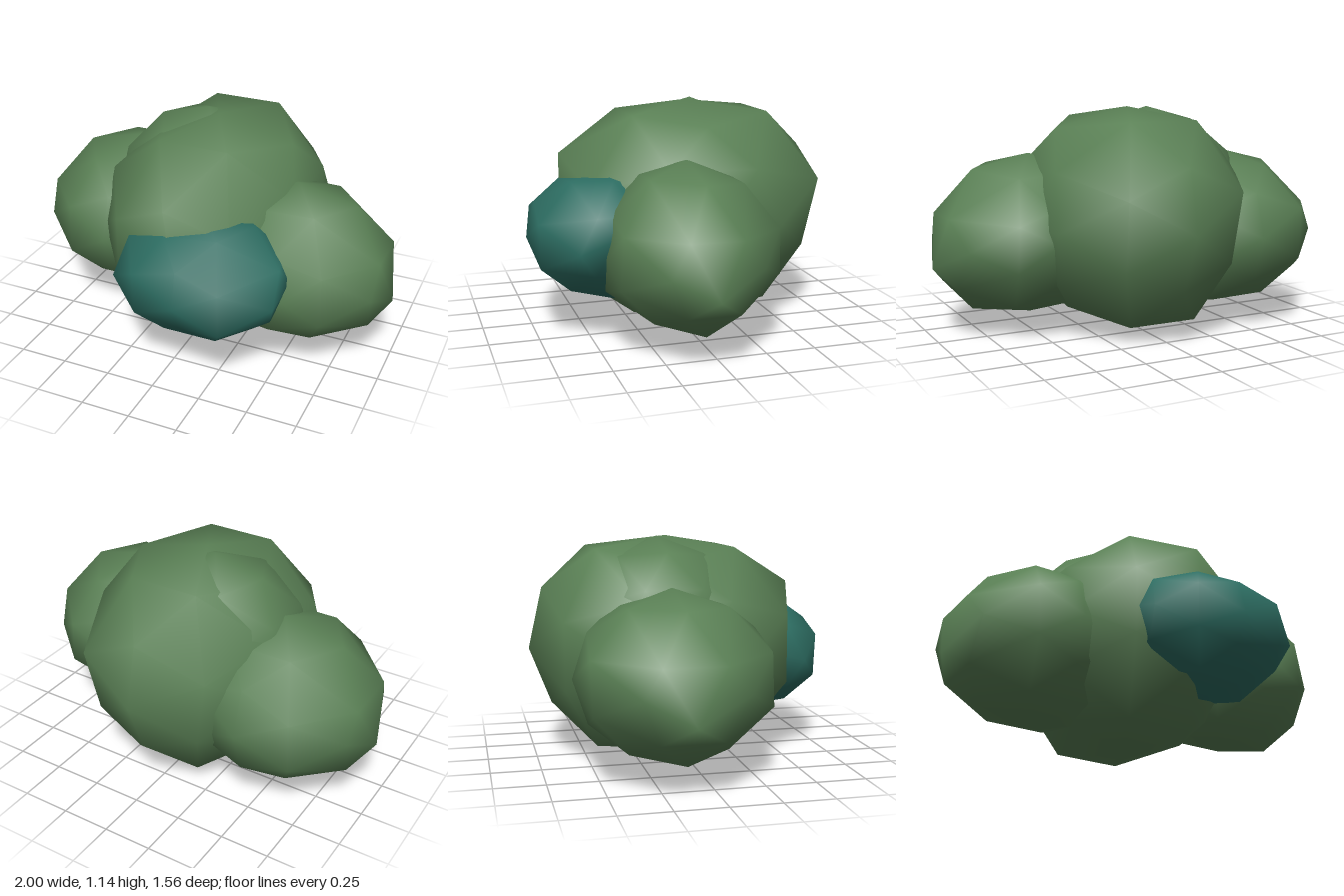
import * as THREE from 'three';
import { mergeVertices } from 'three/addons/utils/BufferGeometryUtils.js';

const leafGreen = new THREE.MeshStandardMaterial({ color: 0x5a8055 });
leafGreen.name = 'leaf green';
const leafTeal = new THREE.MeshStandardMaterial({ color: 0x2d6d62 });
leafTeal.name = 'leaf teal';

// Low-poly foliage clump: a stretched icosphere whose nearest free corners are
// pulled to the given points, with smooth normals.
function clump(name, material, centre, radii, pulls = []) {
  const ico = new THREE.IcosahedronGeometry(1, 1);
  ico.deleteAttribute('normal');
  ico.deleteAttribute('uv');
  const geo = mergeVertices(ico, 1e-3);
  geo.scale(...radii).translate(...centre);
  const pos = geo.attributes.position;
  const v = new THREE.Vector3();
  const used = new Set();
  for (const p of pulls) {
    const target = new THREE.Vector3(...p);
    let best = 0, bestDist = Infinity;
    for (let i = 0; i < pos.count; i++) {
      const d = v.fromBufferAttribute(pos, i).distanceTo(target);
      if (!used.has(i) && d < bestDist) { bestDist = d; best = i; }
    }
    used.add(best);
    pos.setXYZ(best, ...p);
  }
  geo.computeVertexNormals();
  const mesh = new THREE.Mesh(geo, material);
  mesh.name = name;
  return mesh;
}

// Side clumps bulge outwards and sag a little at their outer end
function sideClump(name, side, cx, cz, radii, extraPulls) {
  const rz = radii[2];
  const pulls = [
    [side, 0.36, cz], [side * 0.79, 0.84, cz], [side * 0.8, 0.137, cz], ...extraPulls,
  ];
  for (const s of [-1, 1]) {
    pulls.push([side * 0.95, 0.62, cz + s * 0.31 * rz]);
    pulls.push([side * 0.915, 0.27, cz + s * 0.31 * rz]);
  }
  return clump(name, leafGreen, [side * cx, 0.5, cz], radii, pulls);
}

export function createModel() {
  const bush = new THREE.Group();
  bush.name = 'bush';

  // Large central clump
  const mainPulls = [
    [0, 0.89, 0.59], [0.05, 0.57, 0.6], [0, 0.27, 0.56],
    [0, 0.885, -0.71], [0, 0.575, -0.78], [0, 0.29, -0.67],
    [0.4, 1.04, -0.07], [-0.33, 1.01, -0.07], [0.34, 0.125, -0.07], [-0.31, 0.14, -0.07],
    [0.53, 0.57, -0.41], [-0.48, 0.57, -0.39], [0.49, 0.57, 0.25], [-0.51, 0.57, 0.25],
    [0.31, 0.745, -0.7], [-0.34, 0.745, -0.64],
  ];
  for (const s of [-1, 1]) {
    mainPulls.push([s * 0.18, 1.085, -0.46], [s * 0.18, 1.085, 0.25]);
    mainPulls.push([s * 0.18, 0.09, -0.46], [s * 0.18, 0.075, 0.25]);
    mainPulls.push([s * 0.3, 0.745, 0.5], [s * 0.3, 0.4, 0.5]);
    for (const z of [-0.29, 0.15]) {
      mainPulls.push([s * 0.495, 0.845, z], [s * 0.485, 0.29, z]);
    }
  }
  bush.add(clump('mainClump', leafGreen, [0, 0.572, -0.07], [0.575, 0.568, 0.69], mainPulls));

  // Clump just breaking the surface of the central one
  bush.add(clump('topClump', leafGreen, [-0.08, 0.67, -0.13], [0.5, 0.472, 0.46]));

  // Clumps on either side
  bush.add(sideClump('rightClump', -1, 0.48, -0.14, [0.51, 0.417, 0.48], [
    [-0.74, 0.63, -0.57], [-0.74, 0.37, -0.56], [-0.7, 0.63, 0.29], [-0.7, 0.37, 0.3],
    [-0.945, 0.48, -0.37], [-0.91, 0.48, 0.13],
  ]));
  bush.add(sideClump('leftClump', 1, 0.49, 0.07, [0.5, 0.41, 0.41], [
    [0.69, 0.6, -0.33], [0.7, 0.38, -0.33], [0.74, 0.62, 0.44], [0.74, 0.37, 0.455],
    [0.89, 0.47, -0.18], [0.94, 0.46, 0.28], [0.56, 0.47, 0.478], [0.49, 0.3, 0.47],
    [0.49, 0.67, 0.44], [0.49, 0.66, -0.28], [0.64, 0.85, 0.29], [0.63, 0.81, -0.17],
  ]));

  // Darker clump at the front
  bush.add(clump('frontClump', leafTeal, [0.13, 0.5, 0.4], [0.445, 0.315, 0.383], [
    [0.39, 0.81, 0.4], [0.27, 0.79, 0.58], [0, 0.765, 0.59], [-0.13, 0.74, 0.4],
    [0.56, 0.67, 0.52], [0.56, 0.5, 0.6], [0.58, 0.57, 0.42], [0.52, 0.38, 0.52],
    [0.35, 0.61, 0.755], [0.35, 0.39, 0.75], [-0.1, 0.61, 0.73], [-0.1, 0.39, 0.72],
    [-0.3, 0.57, 0.4], [-0.27, 0.5, 0.61], [-0.22, 0.69, 0.52], [-0.24, 0.36, 0.52],
    [0.13, 0.675, 0.74], [0.13, 0.36, 0.71], [0.38, 0.225, 0.4], [-0.12, 0.255, 0.4],
  ]));

  return bush;
}
